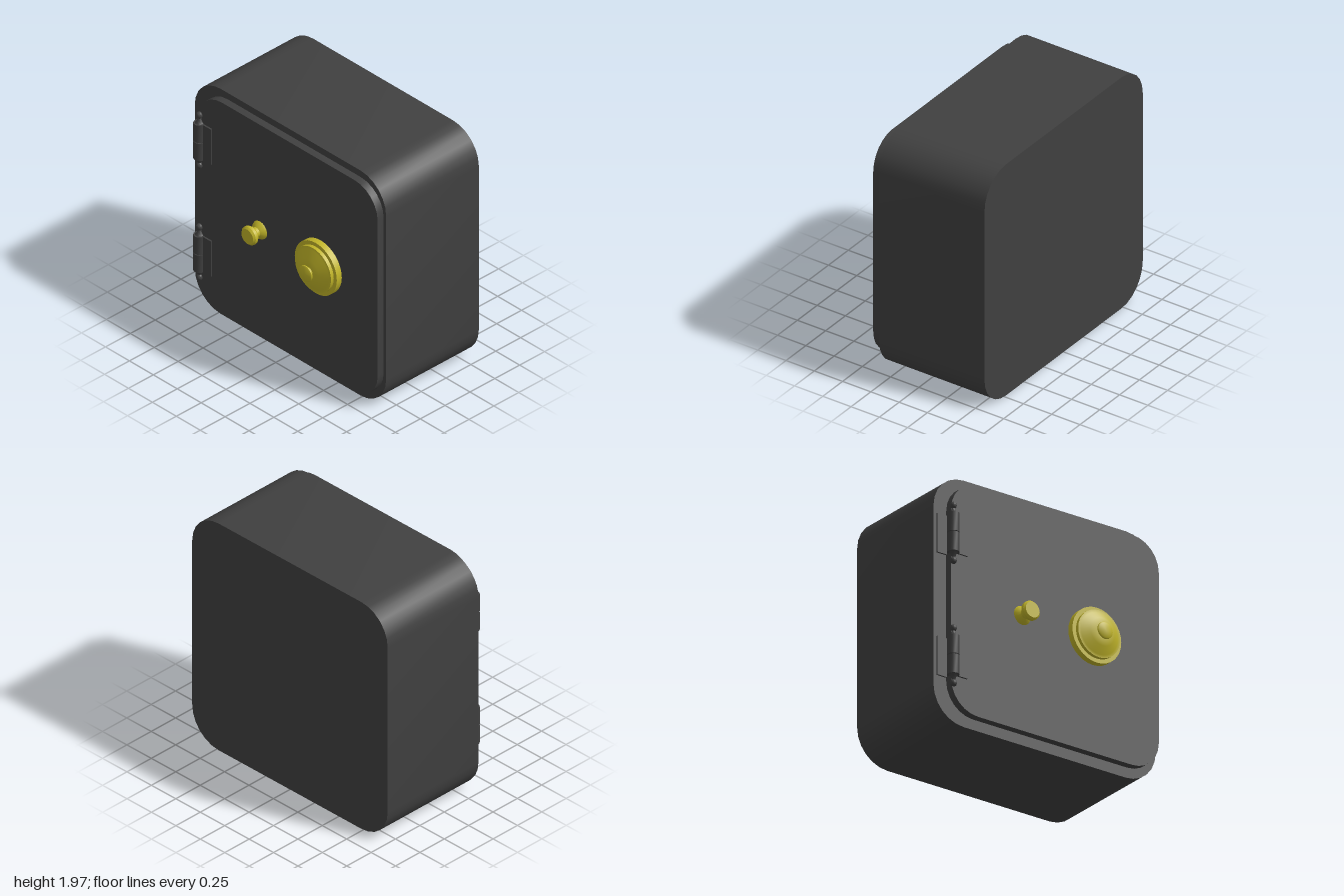
import * as THREE from 'three';
import { toCreasedNormals } from 'three/addons/utils/BufferGeometryUtils.js';

const darkMetal = new THREE.MeshStandardMaterial({ color: 0x404040 });
const brass = new THREE.MeshStandardMaterial({ color: 0xc0b428 });

function mesh(name, geometry, material, x = 0, y = 0, z = 0) {
  const m = new THREE.Mesh(toCreasedNormals(geometry, 0.65), material);
  m.name = name;
  m.position.set(x, y, z);
  return m;
}

// Rounded slab lying in the z-y plane, grown from x = 0 towards -x
function slab(width, height, radius, depth) {
  const w = width / 2, h = height / 2, r = radius;
  const s = new THREE.Shape();
  s.moveTo(-w + r, -h);
  s.lineTo(w - r, -h);
  s.absarc(w - r, -h + r, r, -Math.PI / 2, 0);
  s.lineTo(w, h - r);
  s.absarc(w - r, h - r, r, 0, Math.PI / 2);
  s.lineTo(-w + r, h);
  s.absarc(-w + r, h - r, r, Math.PI / 2, Math.PI);
  s.lineTo(-w, -h + r);
  s.absarc(-w + r, -h + r, r, Math.PI, Math.PI * 1.5);
  const g = new THREE.ExtrudeGeometry(s, { depth, bevelEnabled: false, curveSegments: 3 });
  return g.rotateY(-Math.PI / 2);
}

// Turned part from [radius, height] pairs
function turned(profile, segments = 24) {
  return new THREE.LatheGeometry(profile.map(([r, y]) => new THREE.Vector2(r, y)), segments);
}

function createHinge(y) {
  const hinge = new THREE.Group();
  hinge.name = 'hinge';
  hinge.position.set(-0.425, y, -0.875);

  // Two knuckles with a hairline gap, joined by a pin
  for (const side of [-1, 1]) {
    hinge.add(mesh('hingeKnuckle', new THREE.CylinderGeometry(0.046, 0.046, 0.152, 16), darkMetal, 0, side * 0.079, 0));
    // Ball finial on its flared neck
    const finial = turned([[0.035, 0], [0.022, 0.015], [0.013, 0.04], [0.022, 0.05], [0.026, 0.066],
      [0.022, 0.082], [0.012, 0.09], [0, 0.092]], 12);
    if (side < 0) finial.rotateX(Math.PI);
    hinge.add(mesh('hingeFinial', finial, darkMetal, 0, side * 0.154, 0));
  }
  hinge.add(mesh('hingePin', new THREE.CylinderGeometry(0.025, 0.025, 0.3, 12), darkMetal));

  // Leaves screwed to the door and to the case
  hinge.add(mesh('doorLeaf', new THREE.BoxGeometry(0.018, 0.31, 0.125), darkMetal, 0.002, 0, 0.0625));
  hinge.add(mesh('caseLeaf', new THREE.BoxGeometry(0.015, 0.31, 0.1), darkMetal, 0.067, 0, -0.05));
  hinge.add(mesh('caseLeafWeb', new THREE.BoxGeometry(0.07, 0.31, 0.012), darkMetal, 0.035, 0, -0.006));
  return hinge;
}

export function createModel() {
  const safe = new THREE.Group();
  safe.name = 'safe';

  // Case and door
  safe.add(mesh('case', slab(2, 1.97, 0.27, 0.932), darkMetal, 0.58, 0.985, 0));
  safe.add(mesh('door', slab(1.87, 1.84, 0.24, 0.06), darkMetal, -0.358, 1.0, 0.045));

  // Stepped combination dial
  const dial = turned([[0, 0], [0.22, 0], [0.22, 0.05], [0.188, 0.05], [0.188, 0.078], [0.165, 0.08],
    [0.11, 0.121], [0.04, 0.121], [0.035, 0.13], [0.04, 0.139], [0.058, 0.141], [0.066, 0.147],
    [0.066, 0.155], [0.058, 0.161], [0, 0.161]], 32);
  safe.add(mesh('combinationDial', dial.rotateZ(Math.PI / 2), brass, -0.418, 1.0, 0.385));

  // Pull knob
  const knob = turned([[0, 0], [0.075, 0], [0.068, 0.015], [0.04, 0.038], [0.04, 0.075], [0.065, 0.078],
    [0.075, 0.09], [0.075, 0.113], [0.062, 0.128], [0, 0.128]], 16);
  safe.add(mesh('doorKnob', knob.rotateZ(Math.PI / 2), brass, -0.418, 1.0, -0.25));

  // Hinges
  for (const y of [0.505, 1.485]) safe.add(createHinge(y));

  return safe;
}
